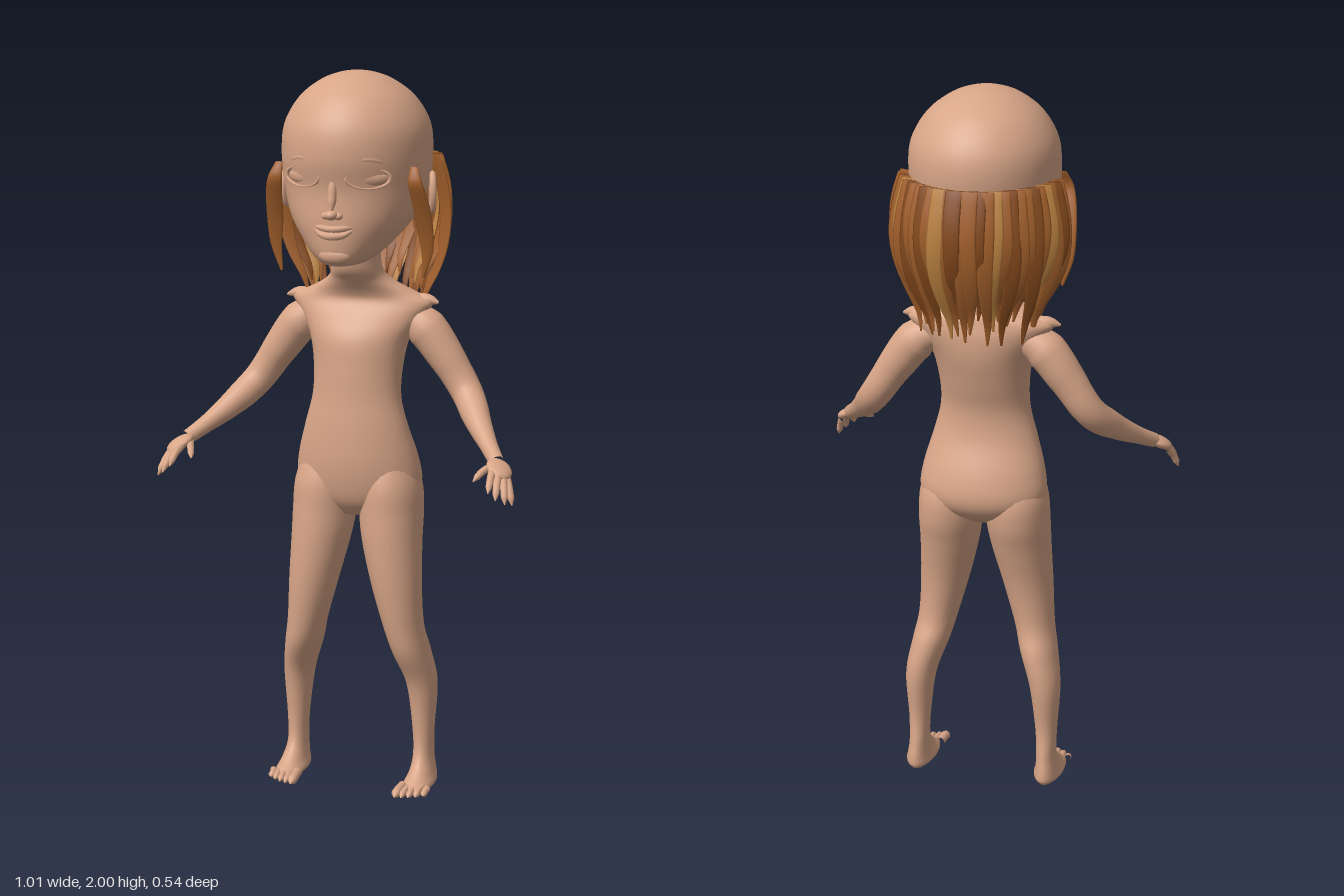
import * as THREE from 'three';
import { mergeVertices } from 'three/addons/utils/BufferGeometryUtils.js';

const material = (name, color) => {
  const m = new THREE.MeshStandardMaterial({ color });
  m.name = name;
  return m;
};

// Smooth stack of rings; each row is [y, centre x, half width, front z, back z], bottom to top
function loft(rows, around = 32, steps = 5) {
  const line = new THREE.CatmullRomCurve3(rows.map(r => new THREE.Vector3(r[1], r[0], 0)), false, 'catmullrom');
  const size = new THREE.CatmullRomCurve3(rows.map(r => new THREE.Vector3(r[2], r[3], r[4])), false, 'catmullrom');
  const n = (rows.length - 1) * steps, pos = [], idx = [];
  for (let i = 0; i <= n; i++) {
    const c = line.getPoint(i / n), s = size.getPoint(i / n);
    for (let j = 0; j < around; j++) {
      const a = j / around * Math.PI * 2;
      pos.push(c.x + Math.max(s.x, 0.001) * Math.cos(a), c.y, (s.y + s.z) / 2 + (s.y - s.z) / 2 * Math.sin(a));
      if (i === n) continue;
      const p = i * around + j, q = i * around + (j + 1) % around;
      idx.push(p, p + around, q, q, p + around, q + around);
    }
  }
  // End caps
  for (const i of [0, n]) {
    const c = line.getPoint(i / n), s = size.getPoint(i / n), k = pos.length / 3;
    pos.push(c.x, c.y, (s.y + s.z) / 2);
    for (let j = 0; j < around; j++) {
      const p = i * around + j, q = i * around + (j + 1) % around;
      if (i) idx.push(k, q, p); else idx.push(k, p, q);
    }
  }
  const g = new THREE.BufferGeometry();
  g.setAttribute('position', new THREE.Float32BufferAttribute(pos, 3));
  g.setIndex(idx);
  g.computeVertexNormals();
  return g;
}

// Tube through points with a radius that varies along its length
function taper(points, radii, seg = 24, around = 14) {
  const curve = new THREE.CatmullRomCurve3(points.map(p => new THREE.Vector3(...p)));
  let g = new THREE.TubeGeometry(curve, seg, 1, around);
  const pos = g.attributes.position, v = new THREE.Vector3();
  for (let i = 0; i <= seg; i++) {
    const c = curve.getPointAt(i / seg), f = i / seg * (radii.length - 1);
    const k = Math.min(Math.floor(f), radii.length - 2);
    const r = THREE.MathUtils.lerp(radii[k], radii[k + 1], f - k);
    for (let j = 0; j <= around; j++) {
      const n = i * (around + 1) + j;
      v.fromBufferAttribute(pos, n).sub(c).multiplyScalar(r).add(c);
      pos.setXYZ(n, v.x, v.y, v.z);
    }
  }
  g.deleteAttribute('uv');
  g.deleteAttribute('normal');
  g = mergeVertices(g, 1e-5);
  g.computeVertexNormals();
  return g;
}

export function createModel() {
  const group = new THREE.Group();
  const skin = material('skin', 0xd8a587);
  const hair = [material('chestnutHair', 0xa05e2a), material('darkHair', 0x84491c), material('lightHair', 0xb9803f)];
  const add = (name, geometry, mat = skin) => {
    const m = new THREE.Mesh(geometry, mat);
    m.name = name;
    group.add(m);
    return m;
  };
  const ball = (name, x, y, z, sx, sy, sz) => {
    const m = add(name, new THREE.SphereGeometry(1, 20, 14));
    m.position.set(x, y, z);
    m.scale.set(sx, sy, sz);
    return m;
  };

  // Plain doll torso with the neck
  add('torso', loft([
    [0.79, 0, 0.07, 0.04, -0.06], [0.83, 0, 0.15, 0.07, -0.12], [0.88, 0, 0.177, 0.085, -0.143],
    [0.95, 0, 0.17, 0.092, -0.13], [1.04, 0, 0.145, 0.088, -0.095], [1.12, 0, 0.125, 0.08, -0.088],
    [1.2, 0, 0.125, 0.075, -0.108], [1.28, 0, 0.14, 0.066, -0.128], [1.34, 0, 0.175, 0.035, -0.132],
    [1.38, 0, 0.2, 0.01, -0.125], [1.405, 0, 0.15, 0.015, -0.118], [1.44, 0, 0.09, 0.04, -0.095],
    [1.48, 0, 0.068, 0.07, -0.072], [1.57, 0, 0.068, 0.08, -0.07]], 40));

  // Head
  add('head', loft([
    [1.498, 0, 0.03, 0.16, 0.06], [1.505, 0, 0.058, 0.182, 0.02], [1.525, 0, 0.088, 0.192, -0.025],
    [1.56, 0, 0.122, 0.197, -0.085], [1.62, 0, 0.166, 0.199, -0.155], [1.7, 0, 0.193, 0.197, -0.21],
    [1.78, 0, 0.2, 0.212, -0.233], [1.86, 0, 0.193, 0.203, -0.225], [1.93, 0, 0.153, 0.16, -0.178],
    [1.975, 0, 0.095, 0.1, -0.112], [1.994, 0, 0.045, 0.045, -0.055], [2, 0, 0.004, 0.004, -0.004]], 48));

  // Nose and lips
  add('noseBridge', taper([[0, 1.74, 0.19], [0, 1.68, 0.2], [0, 1.643, 0.212]], [0.008, 0.012, 0.012, 0.003], 14));
  ball('noseTip', 0, 1.64, 0.207, 0.017, 0.013, 0.018);
  for (const s of [-1, 1]) ball('nostril', s * 0.017, 1.637, 0.198, 0.012, 0.01, 0.012);
  const lip = (y, dip) => [[-0.06, 1.607, 0.179], [-0.03, y + dip, 0.197], [0, y, 0.204], [0.03, y + dip, 0.197], [0.06, 1.607, 0.179]];
  add('upperLip', taper(lip(1.603, 0.002), [0.002, 0.008, 0.009, 0.008, 0.002], 20, 10));
  add('lowerLip', taper(lip(1.584, 0.003), [0.002, 0.008, 0.011, 0.008, 0.002], 20, 10));
  ball('chin', 0, 1.53, 0.175, 0.045, 0.025, 0.022);

  for (const s of [-1, 1]) {
    // Eye with raised lids, and brow ridge
    const eye = ball('eye', s * 0.09, 1.735, 0.163, 0.052, 0.023, 0.016);
    eye.rotation.y = s * 0.42;
    const lids = add('eyelids', new THREE.TorusGeometry(0.058, 0.006, 8, 32));
    lids.position.set(s * 0.09, 1.735, 0.172);
    lids.rotation.y = s * 0.42;
    lids.scale.y = 0.46;
    add('browRidge', taper([[s * 0.025, 1.77, 0.199], [s * 0.09, 1.785, 0.177], [s * 0.155, 1.76, 0.12]],
      [0.004, 0.011, 0.011, 0.003], 16, 10));

    // Ear
    const ear = new THREE.Group();
    ear.name = 'ear';
    const rim = new THREE.Mesh(new THREE.TorusGeometry(0.034, 0.009, 10, 28), skin);
    const bowl = new THREE.Mesh(new THREE.SphereGeometry(0.034, 18, 12), skin);
    rim.name = 'earRim';
    bowl.name = 'earBowl';
    bowl.scale.z = 0.3;
    ear.add(rim, bowl);
    ear.scale.set(0.75, 1.35, 1);
    ear.position.set(s * 0.204, 1.68, -0.028);
    ear.rotation.set(0, s * (Math.PI / 2 + 0.35), 0);
    group.add(ear);

    // Shoulder and arm
    const mir = pts => pts.map(([x, y, z]) => [s * x, y, z]);
    add('arm', taper(mir([[0.12, 1.34, -0.06], [0.175, 1.31, -0.058], [0.235, 1.235, -0.057], [0.3, 1.14, -0.045],
      [0.355, 1.075, 0.03], [0.415, 1.02, 0.115], [0.44, 1.0, 0.15]]),
    [0.04, 0.056, 0.052, 0.046, 0.043, 0.04, 0.032, 0.024, 0.02], 40, 20));
    add('shoulderEdge', taper(mir([[0.15, 1.37, -0.06], [0.19, 1.383, -0.055], [0.218, 1.378, -0.05]]), [0.03, 0.02, 0.003], 10));

    // Hand
    const palm = ball('palm', s * 0.452, 0.988, 0.172, 0.035, 0.016, 0.043);
    palm.rotation.set(0.45, s * 0.45, -s * 0.45);
    const fingers = [[0.44, 0.985, 0.195, 0.447, 0.943, 0.262], [0.456, 0.978, 0.198, 0.467, 0.925, 0.262],
      [0.468, 0.97, 0.192, 0.488, 0.912, 0.245], [0.475, 0.967, 0.18, 0.5, 0.903, 0.215], [0.43, 0.99, 0.155, 0.396, 0.962, 0.228]];
    for (const [a, b, c, d, e, f] of fingers)
      add('finger', taper(mir([[a, b, c], [(a + d) / 2, (b + e) / 2 + 0.007, (c + f) / 2], [d, e, f]]),
        [0.011, 0.0105, 0.0095, 0.009, 0.001], 16, 10));

    // Leg and foot in one skin
    add('leg', loft([
      [0.005, 0.19, 0.03, 0.085, -0.082], [0.018, 0.19, 0.042, 0.1, -0.092], [0.045, 0.19, 0.034, 0.052, -0.092],
      [0.09, 0.188, 0.028, 0.01, -0.085], [0.17, 0.187, 0.031, 0.002, -0.077], [0.3, 0.182, 0.043, 0.02, -0.092],
      [0.4, 0.158, 0.052, 0.063, -0.085], [0.48, 0.14, 0.056, 0.078, -0.062], [0.6, 0.12, 0.07, 0.09, -0.07],
      [0.72, 0.103, 0.083, 0.092, -0.1], [0.8, 0.097, 0.088, 0.088, -0.122], [0.88, 0.094, 0.084, 0.082, -0.12],
      [0.97, 0.09, 0.055, 0.05, -0.07]].map(r => [r[0], s * r[1], ...r.slice(2)]), 28));
    for (let i = 0; i < 5; i++) {
      const x = 0.154 + i * 0.018, r = i ? 0.0095 : 0.0135, z = 0.13 - i * i * 0.0022;
      add('toe', taper(mir([[x + 0.003, 0.022, 0.06], [x, 0.019, z - 0.025], [x, 0.012, z]]), [r, r, r, r, 0.001], 12, 10));
    }

    // Lock in front of the ear
    add('sideLock', loft([
      [1.46, 0.2, 0.004, 0.043, 0.037], [1.53, 0.213, 0.016, 0.05, 0.041], [1.6, 0.21, 0.023, 0.065, 0.055],
      [1.67, 0.204, 0.023, 0.089, 0.079], [1.72, 0.195, 0.02, 0.106, 0.096], [1.76, 0.188, 0.01, 0.09, 0.082],
    ].map(r => [r[0], s * r[1], ...r.slice(2)]), 10, 3), hair[0]);
  }

  // Overlapping flat locks around the back of the head
  const count = 29;
  for (let i = 0; i < count; i++) {
    const th = (i / (count - 1) * 2 - 1) * 1.35, phi = th * 0.35;
    const wobble = Math.sin(i * 2.4), length = 0.39 + 0.04 * Math.sin(i * 4.1), rows = [];
    for (let k = 8; k >= 0; k--) {
      const t = k / 8;
      const out = 0.036 * Math.sin(Math.PI * Math.min(1, t * 1.15)) - 0.04 * t * t + 0.004 * (i % 2);
      const x = out * Math.sin(th - phi) + 0.007 * Math.sin(t * 7 + i) * t;
      const z = -out * Math.cos(th - phi) + 0.008 * wobble * t;
      const thick = 0.004 * (1 - t * 0.6);
      rows.push([1.775 - t * length, x, 0.023 * (1 - 0.88 * t * t * t), z + thick, z - thick]);
    }
    const lock = add('hairLock', loft(rows, 10, 2), hair[[0, 1, 0, 2, 0, 1, 0][i % 7]]);
    lock.position.set(0.205 * Math.sin(th), 0, -0.012 - 0.226 * Math.cos(th));
    lock.rotation.y = -phi;
  }
  return group;
}
